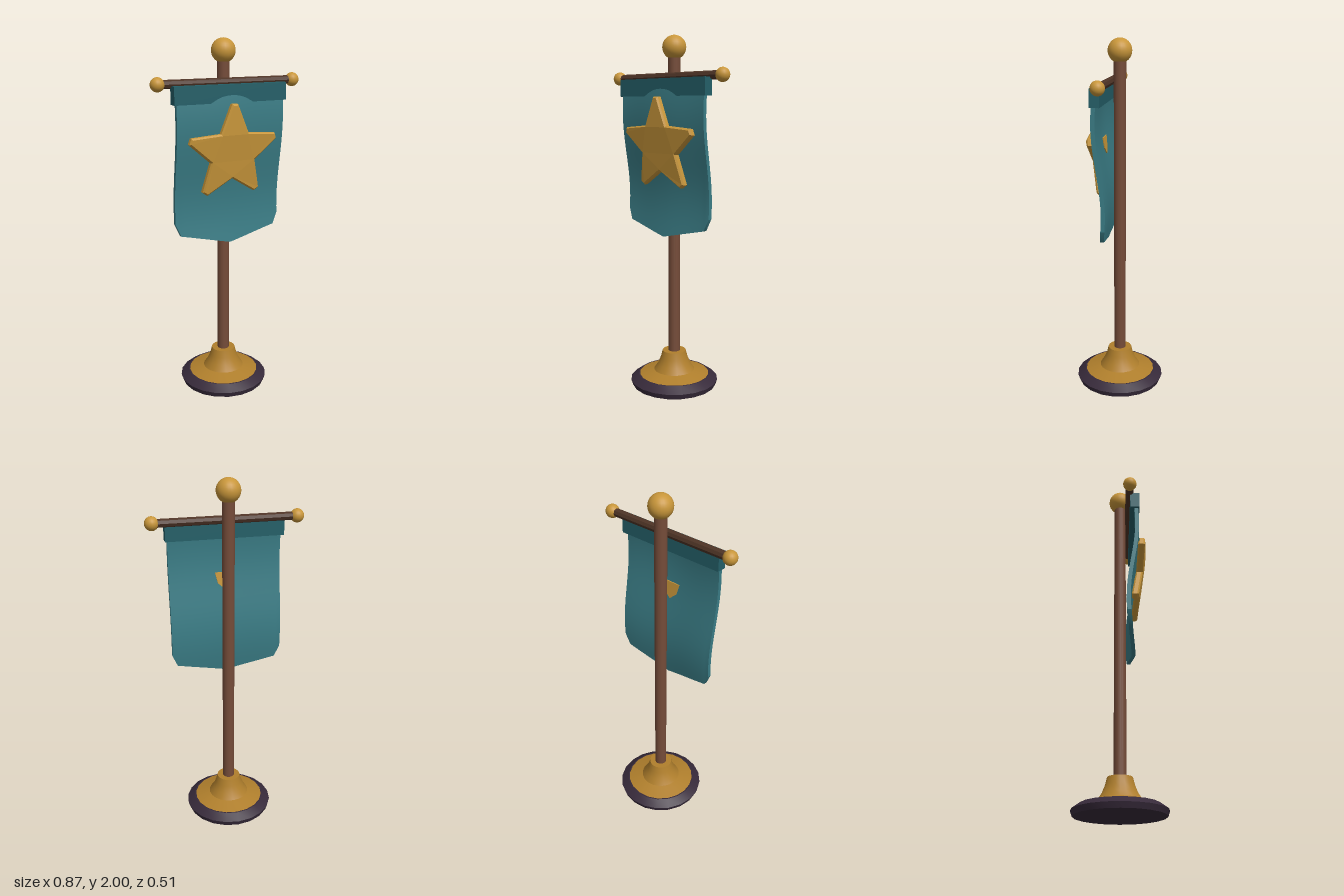
import * as THREE from 'three';
import { toCreasedNormals } from 'three/addons/utils/BufferGeometryUtils.js';

const material = (name, color) => {
  const m = new THREE.MeshStandardMaterial({ color });
  m.name = name;
  return m;
};

// Depth of the hanging cloth's middle layer at a point
const clothZ = (x, y) =>
  0.075 + 0.025 * Math.cos(((1.58 - y) * Math.PI) / 0.48) + 0.006 * Math.cos((2 * Math.PI * x) / 0.62);

// Push a geometry's vertices onto the waving cloth
function drape(geometry, lowerEdge) {
  const p = geometry.attributes.position;
  for (let i = 0; i < p.count; i++) {
    const x = p.getX(i);
    let y = p.getY(i);
    if (lowerEdge) y = 1.74 - (0.5 - y) * (1.74 - lowerEdge(Math.abs(x)));
    p.setXYZ(i, x, y, p.getZ(i) + clothZ(x, y));
  }
  geometry.computeVertexNormals();
  return geometry;
}

const lathe = (points) =>
  toCreasedNormals(new THREE.LatheGeometry(points.map(([r, y]) => new THREE.Vector2(r, y)), 20), 0.5);

// Five-pointed star with blunted tips
function starShape(cx, cy, outer, inner) {
  const points = [];
  for (let i = 0; i < 5; i++) {
    const a = Math.PI / 2 + (i * 2 * Math.PI) / 5;
    const b = a + Math.PI / 5;
    for (const s of [-0.045, 0.045]) {
      points.push(new THREE.Vector2(cx + outer * Math.cos(a + s), cy + outer * Math.sin(a + s)));
    }
    points.push(new THREE.Vector2(cx + inner * Math.cos(b), cy + inner * Math.sin(b)));
  }
  return new THREE.Shape(points);
}

export function createModel() {
  const group = new THREE.Group();
  const gold = material('gold', 0xc8963a);
  const darkGold = material('dark gold', 0xb07f2c);
  const wood = material('wood', 0x754c39);
  const darkWood = material('dark wood', 0x4e3426);
  const teal = material('teal cloth', 0x3a7c85);
  const darkTeal = material('dark teal cloth', 0x245f68);
  const plum = material('dark plum', 0x372a3a);

  const add = (name, geometry, mat, x = 0, y = 0, z = 0) => {
    const mesh = new THREE.Mesh(geometry, mat);
    mesh.name = name;
    mesh.position.set(x, y, z);
    group.add(mesh);
    return mesh;
  };

  // Stepped foot
  add('baseRim', lathe([[0, 0], [0.245, 0], [0.255, 0.03], [0.21, 0.062], [0, 0.062]]), plum);
  add('baseCone', lathe([[0.21, 0.06], [0.118, 0.085], [0.095, 0.118], [0.078, 0.16], [0.068, 0.2], [0, 0.2]]), darkGold);

  // Pole and finial
  add('pole', new THREE.CylinderGeometry(0.034, 0.034, 1.72, 16), wood, 0, 1.05, 0);
  add('finial', new THREE.SphereGeometry(0.066, 24, 16), gold, 0, 1.934, 0);

  // Crossbar with end knobs
  const bar = toCreasedNormals(new THREE.CylinderGeometry(0.023, 0.023, 0.78, 8), 0.5);
  add('crossbar', bar, darkWood, 0, 1.773, 0.052).rotation.z = Math.PI / 2;
  for (const side of [-1, 1]) {
    add('crossbarKnob', new THREE.SphereGeometry(0.038, 20, 14), gold, side * 0.397, 1.773, 0.052);
  }

  // Waving banner with a shallow point and clipped corners
  const lowerEdge = (x) =>
    x < 0.287 ? 0.89 + (0.065 * x) / 0.287 : 0.955 + (0.065 * (x - 0.287)) / 0.028;
  add('banner', drape(new THREE.BoxGeometry(0.63, 1, 0.022, 22, 20, 1), lowerEdge), teal);
  add('bannerSleeve', new THREE.BoxGeometry(0.656, 0.095, 0.053), darkTeal, 0, 1.717, 0.082);

  // Raised star and the bit of it showing through the back
  const star = new THREE.ExtrudeGeometry(starShape(0, 1.4, 0.258, 0.128), {
    depth: 0.022, bevelEnabled: true, bevelThickness: 0.009, bevelSize: 0.008, bevelSegments: 1,
  });
  star.translate(0, 0, 0.019);
  add('star', drape(star), gold);

  const patch = new THREE.Shape(
    [[-0.055, 1.475], [-0.04, 1.415], [0, 1.38], [0.04, 1.415], [0.055, 1.475]].map(([x, y]) => new THREE.Vector2(x, y))
  );
  const back = new THREE.ExtrudeGeometry(patch, { depth: 0.006, bevelEnabled: false });
  back.translate(0, 0, -0.016);
  add('starBack', drape(back), gold);

  return group;
}
